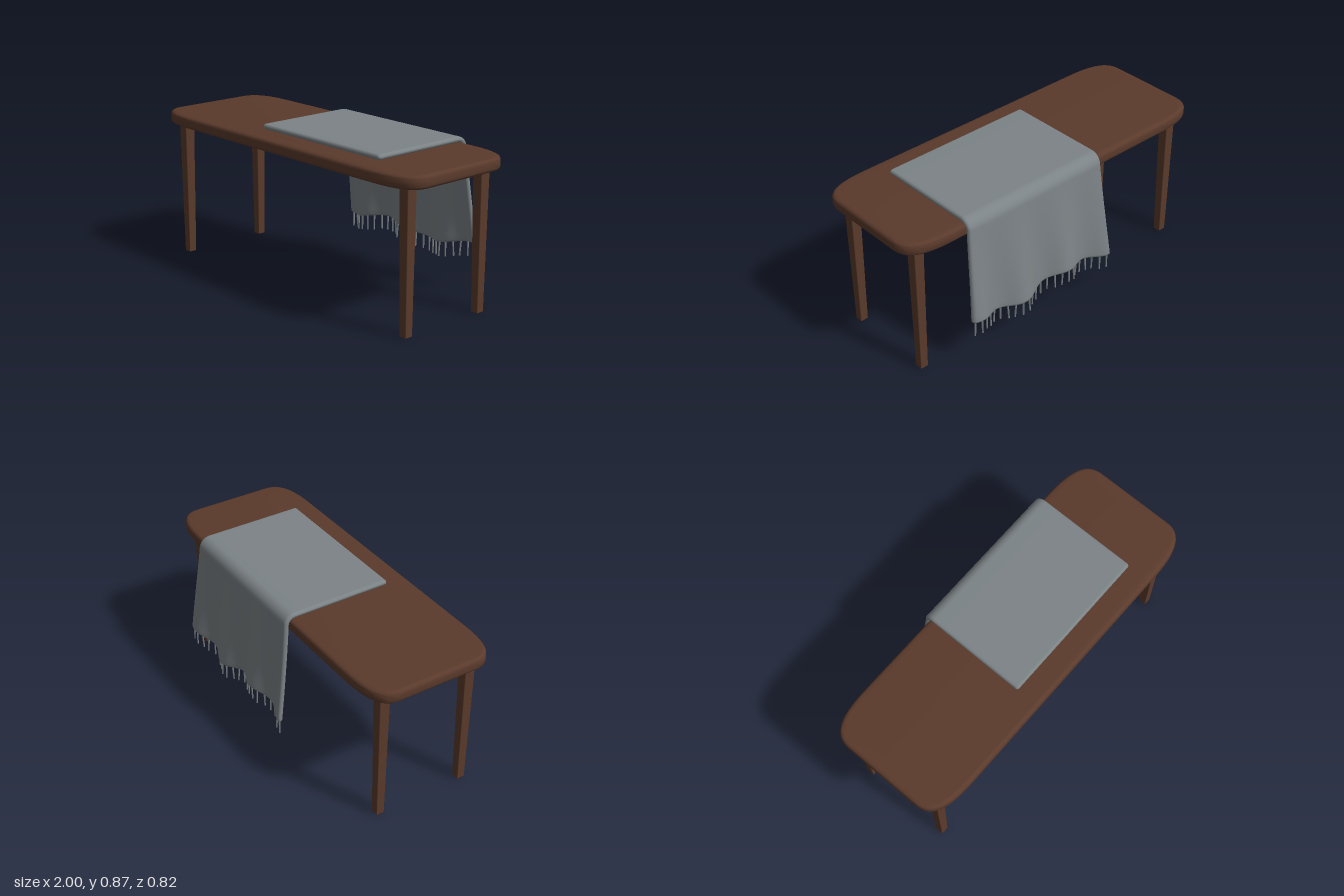
import * as THREE from 'three';
import { toCreasedNormals } from 'three/addons/utils/BufferGeometryUtils.js';
import { RoundedBoxGeometry } from 'three/addons/geometries/RoundedBoxGeometry.js';

const wood = new THREE.MeshStandardMaterial({ name: 'dark wood', color: 0x5a3a2b });
const wool = new THREE.MeshStandardMaterial({ name: 'grey wool', color: 0x7c8386 });

function add(group, name, geometry, material) {
  const mesh = new THREE.Mesh(geometry, material);
  mesh.name = name;
  group.add(mesh);
  return mesh;
}

// Slab with long soft corners and rounded edges
function tabletopGeometry() {
  const X = 1, Z = 0.362, cx = 0.27, cz = 0.14, k = 0.3;
  const s = new THREE.Shape();
  s.moveTo(X - cx, -Z);
  s.bezierCurveTo(X - cx * k, -Z, X, -Z + cz * k, X, -Z + cz);
  s.lineTo(X, Z - cz);
  s.bezierCurveTo(X, Z - cz * k, X - cx * k, Z, X - cx, Z);
  s.lineTo(-X + cx, Z);
  s.bezierCurveTo(-X + cx * k, Z, -X, Z - cz * k, -X, Z - cz);
  s.lineTo(-X, -Z + cz);
  s.bezierCurveTo(-X, -Z + cz * k, -X + cx * k, -Z, -X + cx, -Z);
  const g = new THREE.ExtrudeGeometry(s, {
    depth: 0.026, bevelThickness: 0.022, bevelSize: 0.022, bevelOffset: -0.022,
    bevelSegments: 5, curveSegments: 14,
  });
  g.rotateX(Math.PI / 2).translate(0, 0.813, 0.047);
  return toCreasedNormals(g, 0.7);
}

// Square leg tapering to the foot
function legGeometry() {
  const g = new RoundedBoxGeometry(0.06, 0.78, 0.06, 2, 0.005);
  const p = g.attributes.position;
  for (let i = 0; i < p.count; i++) {
    const f = 0.75 + 0.25 * (p.getY(i) / 0.78 + 0.5);
    p.setX(i, p.getX(i) * f);
    p.setZ(i, p.getZ(i) * f);
  }
  return g.translate(0, 0.39, 0);
}

const MID = 0.215, HALF = 0.45, R = 0.015, FLAT = 0.852, BEND = 0.05, BACK = -0.332;
const flare = (x0, t) => MID + (x0 - MID) * (1 + 0.073 * t);
const hem = (x) => 0.258 - 0.022 * Math.cos((2 * Math.PI * (x - 0.38)) / 0.64);

// Middle layer of the cloth: s 0-1 flat, 1-2 over the edge, 2-3 hanging
function clothPoint(x0, s) {
  if (s <= 1) {
    return new THREE.Vector3(x0, FLAT, THREE.MathUtils.lerp(0.265, BACK + BEND, s));
  }
  if (s <= 2) {
    const a = ((s - 1) * Math.PI) / 2;
    return new THREE.Vector3(x0, FLAT - BEND * (1 - Math.cos(a)), BACK + BEND * (1 - Math.sin(a)));
  }
  const t = s - 2, x = flare(x0, t);
  const wave = Math.cos((2 * Math.PI * (x - 0.04)) / 0.303);
  const y = THREE.MathUtils.lerp(FLAT - BEND, hem(x) + R, t);
  return new THREE.Vector3(x, y, BACK - 0.043 * t - 0.024 * Math.pow(t, 1.3) * wave);
}

// Thick cloth: a closed loop round the middle layer, swept across the width
function clothGeometry() {
  const steps = [];
  for (let i = 0; i < 6; i++) steps.push(i / 6);
  for (let i = 0; i < 8; i++) steps.push(1 + i / 8);
  for (let i = 0; i <= 20; i++) steps.push(2 + i / 20);

  // Loop entries: position along the cloth and angle from its outer normal
  const loop = steps.map((s) => [s, 0]);
  for (let i = 1; i < 6; i++) loop.push([3, (i * Math.PI) / 6]);
  for (const s of [...steps].reverse()) loop.push([s, Math.PI]);
  for (let i = 1; i < 6; i++) loop.push([0, Math.PI + (i * Math.PI) / 6]);

  // Columns: rounded side edges, then an even spread between them
  const columns = [], W = HALF - R;
  for (let i = 0; i < 4; i++) {
    const a = (i * Math.PI) / 8;
    columns.push([-W - R * Math.cos(a), R * Math.sin(a)]);
  }
  for (let i = 0; i <= 56; i++) columns.push([-W + (2 * W * i) / 56, R]);
  for (let i = 3; i >= 0; i--) columns.push([-columns[i][0], columns[i][1]]);

  const pos = [], index = [], n = loop.length;
  for (const [dx, r] of columns) {
    for (const [s, a] of loop) {
      const c = clothPoint(MID + dx, s);
      const d = clothPoint(MID + dx, Math.min(3, s + 0.01))
        .sub(clothPoint(MID + dx, Math.max(0, s - 0.01)));
      d.x = 0;
      d.normalize();
      const ca = r * Math.cos(a), sa = r * Math.sin(a);
      pos.push(c.x, c.y - d.z * ca + d.y * sa, c.z + d.y * ca + d.z * sa);
    }
  }
  for (let i = 0; i < columns.length - 1; i++) {
    for (let j = 0; j < n; j++) {
      const k = (j + 1) % n;
      const a = i * n + j, b = a + n, c = i * n + k, e = c + n;
      index.push(a, b, c, b, e, c);
    }
  }
  const g = new THREE.BufferGeometry();
  g.setAttribute('position', new THREE.Float32BufferAttribute(pos, 3));
  g.setIndex(index);
  g.computeVertexNormals();
  return g;
}

export function createModel() {
  const model = new THREE.Group();
  model.name = 'table with throw';

  add(model, 'tabletop', tabletopGeometry(), wood);

  const leg = legGeometry();
  for (const [side, x] of [['left', 0.89], ['right', -0.89]]) {
    for (const [end, z] of [['Front', 0.303], ['Back', -0.208]]) {
      add(model, `${side}${end}Leg`, leg, wood).position.set(x, 0, z);
    }
  }

  add(model, 'throw', clothGeometry(), wool);

  // Fringe strands hanging from the hem
  const fringe = new THREE.Group();
  fringe.name = 'fringe';
  const strand = new THREE.CylinderGeometry(0.0055, 0.0045, 0.09, 6).translate(0, -0.045, 0);
  const COUNT = 24;
  for (let i = 0; i < COUNT; i++) {
    const x0 = MID + (HALF - 0.016) * ((2 * i) / (COUNT - 1) - 1);
    const m = add(fringe, 'fringeStrand', strand, wool);
    m.position.copy(clothPoint(x0, 3));
    m.position.y -= 0.005;
    m.rotation.set(0.06 * Math.sin(i * 2.3), 0, 0.05 * Math.sin(i * 1.7));
  }
  model.add(fringe);
  return model;
}
